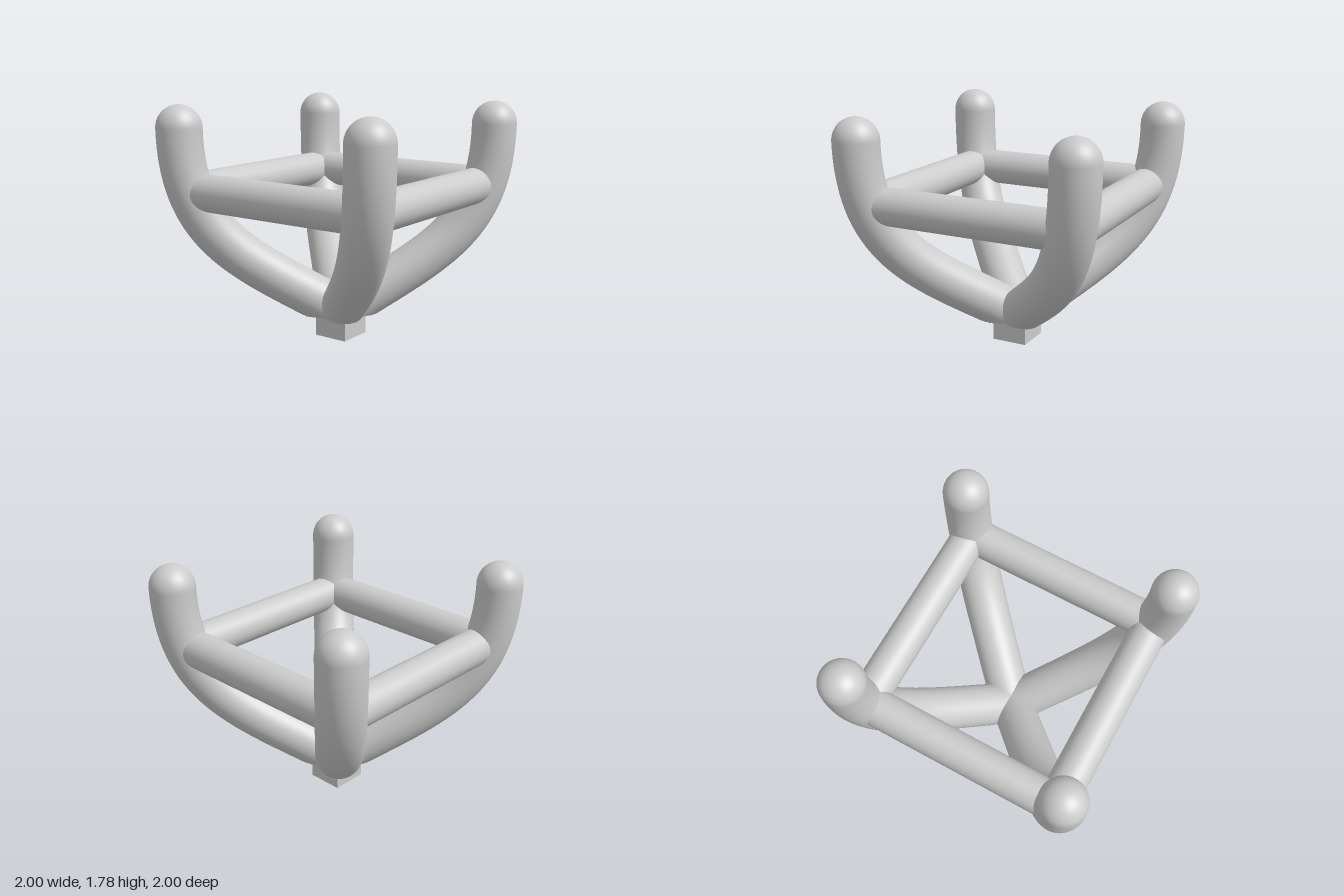
import * as THREE from 'three';

const ARM_R = 0.168, ARM_TOP = 1.61, ARM_OUT = 0.832;
const BAR_R = 0.137, BAR_Y = 1.145, BAR_OUT = 0.77;
const BASE_Y = 0.17; // level of the flat underside where the arms meet

// Curved tube along the diagonal, trimmed flat at BASE_Y
function armGeometry() {
  const p = (d, y) => new THREE.Vector3(d, y, d);
  const path = new THREE.CubicBezierCurve3(
    p(0, 0.19), p(0.5, 0.62), p(ARM_OUT, 0.78), p(ARM_OUT, ARM_TOP));
  const geo = new THREE.TubeGeometry(path, 96, ARM_R, 48).toNonIndexed();
  const pos = geo.attributes.position, nor = geo.attributes.normal;
  for (let i = 0; i < pos.count; i += 3) {
    let flat = true;
    for (let k = i; k < i + 3; k++) {
      if (pos.getY(k) <= BASE_Y) pos.setY(k, BASE_Y);
      else flat = false;
    }
    if (flat) for (let k = i; k < i + 3; k++) nor.setXYZ(k, 0, -1, 0);
  }
  return geo;
}

export function createModel() {
  const model = new THREE.Group();
  const material = new THREE.MeshStandardMaterial({ color: 0xcccccc });
  const add = (parent, name, geo, x = 0, y = 0, z = 0) => {
    const mesh = new THREE.Mesh(geo, material);
    mesh.name = name;
    mesh.position.set(x, y, z);
    parent.add(mesh);
    return mesh;
  };

  // Square mounting peg
  add(model, 'mountingPeg', new THREE.BoxGeometry(0.274, 0.2, 0.274), 0, 0.1, 0);

  const arm = armGeometry();
  const tip = new THREE.SphereGeometry(ARM_R, 48, 16, 0, Math.PI * 2, 0, Math.PI / 2);
  const bar = new THREE.CylinderGeometry(BAR_R, BAR_R, BAR_OUT * 2, 48).rotateZ(Math.PI / 2);

  // Four identical quarters: an arm with a rounded tip and one crossbar
  ['front', 'left', 'back', 'right'].forEach((side, i) => {
    const quarter = new THREE.Group();
    quarter.name = side + 'Quarter';
    quarter.rotation.y = i * Math.PI / 2;
    add(quarter, 'arm', arm);
    add(quarter, 'armTip', tip, ARM_OUT, ARM_TOP, ARM_OUT);
    add(quarter, 'crossbar', bar, 0, BAR_Y, BAR_OUT);
    model.add(quarter);
  });
  return model;
}
